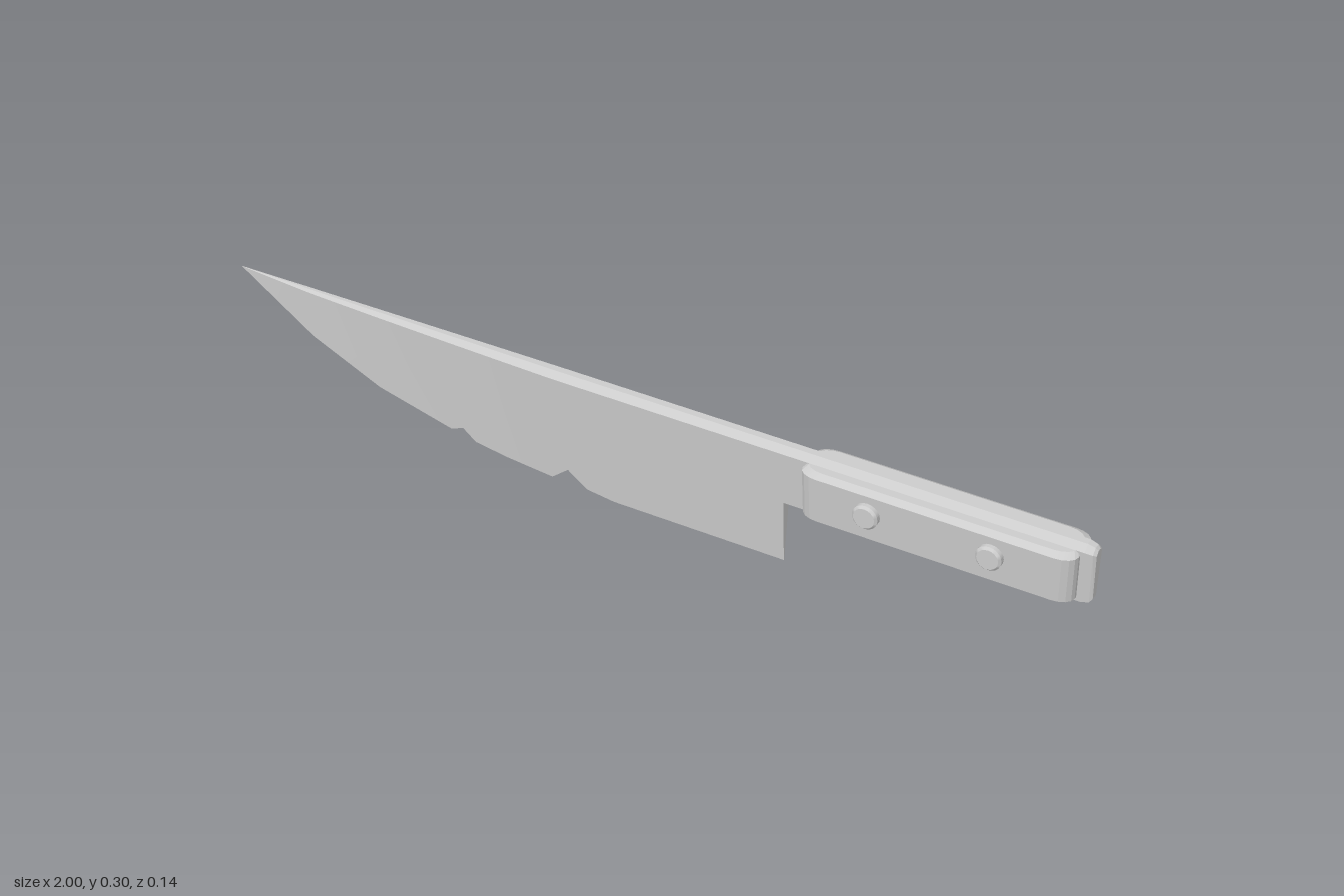
import * as THREE from 'three';
import { toCreasedNormals } from 'three/addons/utils/BufferGeometryUtils.js';

const steel = new THREE.MeshStandardMaterial({ color: 0xcccccc });

// Skins a row of rings (counter-clockwise about the loft direction) and caps both ends.
function loft(rings) {
  const n = rings[0].length;
  const index = [];
  for (let r = 0; r < rings.length - 1; r++) {
    for (let i = 0; i < n; i++) {
      const j = (i + 1) % n, a = r * n, b = a + n;
      index.push(a + i, a + j, b + j, a + i, b + j, b + i);
    }
  }
  const last = (rings.length - 1) * n;
  for (let i = 1; i < n - 1; i++) {
    index.push(0, i + 1, i, last, last + i, last + i + 1);
  }
  const geo = new THREE.BufferGeometry();
  geo.setAttribute('position', new THREE.Float32BufferAttribute(rings.flat(2), 3));
  geo.setIndex(index);
  return toCreasedNormals(geo, 0.2);
}

// Wedge section of the steel at x: lower edge, shoulder, narrow spine ridge.
function steelSection(x, bottom, top = 0.297, shrink = 1) {
  const k = Math.min(1, (x + 1) / 0.8) ** 0.6 * shrink;
  const width = (y) => (0.001 + 0.0215 * y / 0.285) * k;
  const shoulder = top - 0.013 * k;
  const low = width(bottom), mid = width(shoulder), ridge = 0.008 * k;
  return [
    [x, bottom, low], [x, bottom, -low], [x, shoulder, -mid],
    [x, top, -ridge], [x, top, ridge], [x, shoulder, mid],
  ];
}

// One grip scale: half plan with rounded outer corners, stacked in height.
function scaleSection(y, depth, inset) {
  const half = 0.295 - inset, rx = 0.04, rz = 0.026;
  const ring = [[-half, y, 0]];
  for (const side of [-1, 1]) {
    for (let i = 0; i <= 4; i++) {
      const a = (side < 0 ? i : 4 - i) / 4 * Math.PI / 2;
      ring.push([side * (half - rx + rx * Math.cos(a)), y, depth - rz + rz * Math.sin(a)]);
    }
  }
  ring.push([half, y, 0]);
  return ring;
}

export function createModel() {
  const group = new THREE.Group();
  const add = (name, geometry) => {
    const mesh = new THREE.Mesh(geometry, steel);
    mesh.name = name;
    group.add(mesh);
    return mesh;
  };

  // Blade with two nicks in the cutting edge, stepping up at the heel into the tang
  const edge = [
    [-1, 0.298], [-0.82, 0.18], [-0.65, 0.1], [-0.47, 0.052], [-0.44, 0.065],
    [-0.41, 0.038], [-0.33, 0.025], [-0.22, 0.014], [-0.18, 0.048], [-0.135, 0.011],
    [-0.07, 0.002], [0.332, 0.002], [0.332, 0.157], [0.978, 0.157],
  ];
  const sections = edge.map(([x, y]) => steelSection(x, y));
  sections.push(steelSection(0.994, 0.162, 0.292, 0.85), steelSection(1, 0.17, 0.286, 0.6));
  add('bladeAndTang', loft(sections));

  // Grip scales on both sides of the tang
  const scale = loft([
    scaleSection(0.163, 0.036, 0.008),
    scaleSection(0.167, 0.047, 0.002),
    scaleSection(0.275, 0.055, 0),
    scaleSection(0.284, 0.041, 0.008),
  ]);
  ['frontGripScale', 'backGripScale'].forEach((name, i) => {
    const mesh = add(name, scale);
    mesh.position.x = 0.675;
    mesh.rotation.y = i * Math.PI;
  });

  // Rivets through the grip, with bevelled heads
  const profile = [[0, -0.068], [0.023, -0.068], [0.028, -0.063],
    [0.028, 0.063], [0.023, 0.068], [0, 0.068]].map(([r, y]) => new THREE.Vector2(r, y));
  const rivet = toCreasedNormals(new THREE.LatheGeometry(profile, 20), 0.6);
  [0.535, 0.8].forEach((x, i) => {
    const mesh = add(i ? 'rearRivet' : 'frontRivet', rivet);
    mesh.position.set(x, 0.23, 0);
    mesh.rotation.x = Math.PI / 2;
  });

  return group;
}
